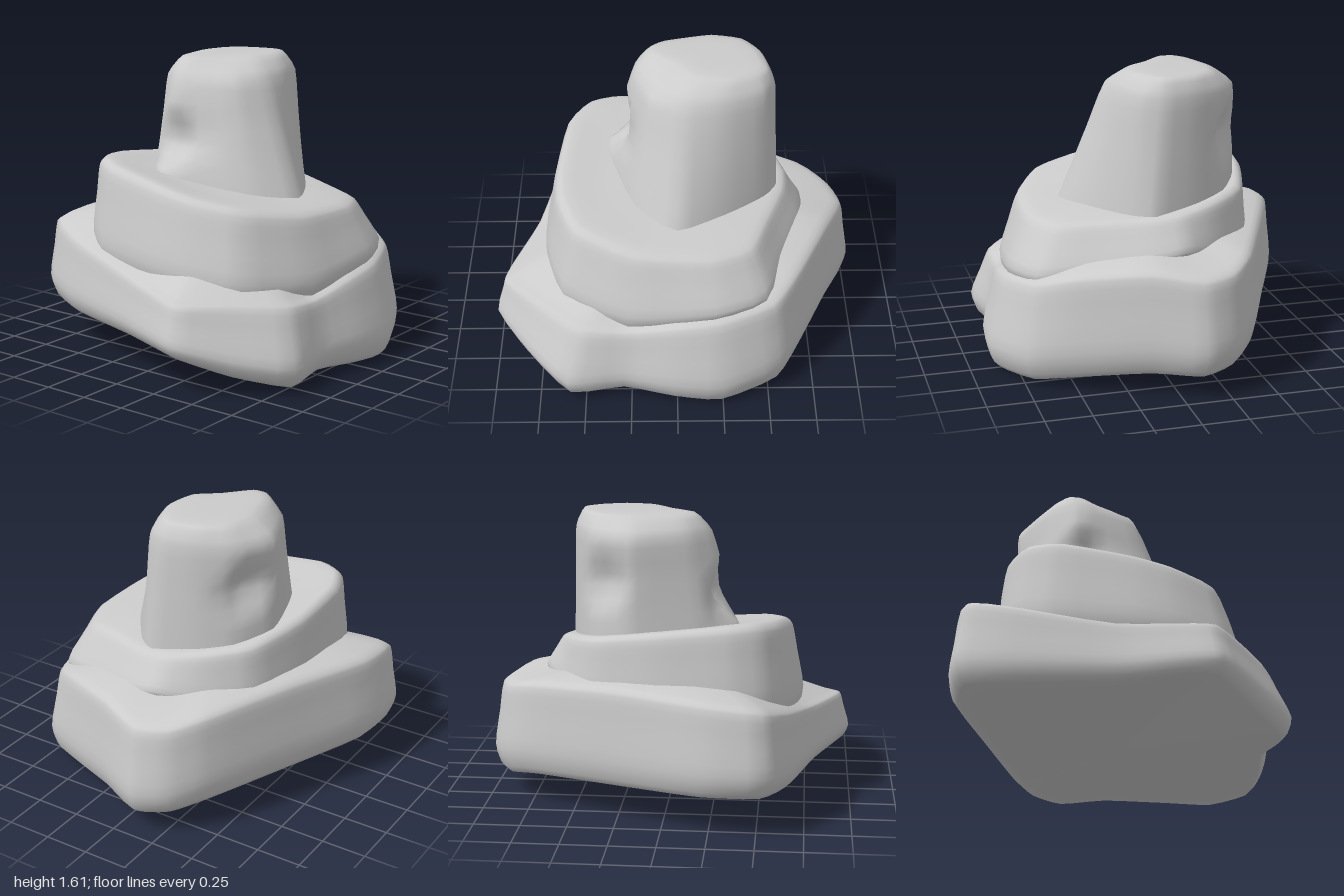
import * as THREE from 'three';

const V = (x, y, z) => new THREE.Vector3(x, y, z);
const lerp = THREE.MathUtils.lerp;
const material = new THREE.MeshStandardMaterial({ color: 0xcccccc });
const spline = (points, closed) => new THREE.CatmullRomCurve3(points, closed, 'catmullrom', 0.28);

// Closed lump lofted through rings of points (bottom to top), softened in both directions
function loft(name, rings, dents = []) {
  const around = rings[0].length * 3, up = (rings.length + 1) * 3;
  const smooth = rings.map(r => {
    const curve = spline(r, true);
    return Array.from({ length: around }, (_, j) => curve.getPoint(j / around));
  });
  const middle = r => r.reduce((s, p) => s.add(p), V(0, 0, 0)).divideScalar(r.length);
  const bottom = middle(rings[0]), top = middle(rings[rings.length - 1]);
  const columns = smooth[0].map((_, j) => spline([bottom, ...smooth.map(r => r[j]), top], false));
  const points = [bottom];
  for (let i = 1; i < up; i++) for (const c of columns) points.push(c.getPoint(i / up));
  points.push(top);

  // Hollows: push nearby points along a direction with a soft falloff
  for (const { at, push, radius } of dents) {
    for (const p of points) {
      const d = p.distanceTo(at) / radius;
      if (d < 1) p.addScaledVector(push, (1 - d * d) ** 2);
    }
  }

  const index = [], last = points.length - 1;
  for (let j = 0; j < around; j++) {
    const k = (j + 1) % around;
    index.push(0, 1 + j, 1 + k);
    for (let i = 0; i < up - 2; i++) {
      const a = 1 + i * around, b = a + around;
      index.push(a + j, b + j, a + k, a + k, b + j, b + k);
    }
    const t = 1 + (up - 2) * around;
    index.push(t + j, last, t + k);
  }
  const geometry = new THREE.BufferGeometry().setFromPoints(points);
  geometry.setIndex(index);
  geometry.computeVertexNormals();
  const mesh = new THREE.Mesh(geometry, material);
  mesh.name = name;
  return mesh;
}

// Flat boulder from an outline; each entry is [x, z, low, high, inset of the top edge]
function slab(name, outline, dome) {
  const mean = n => outline.reduce((s, c) => s + c[n], 0) / outline.length;
  const ring = (scale, h) => outline.map(([x, z, lo, hi, inset]) => {
    const s = scale(inset);
    return V(x * s, lerp(lo, hi, h), z * s);
  });
  // Inner ring of the underside (n = 2) or the top (n = 3)
  const cap = (n, lift) => outline.map(c =>
    V(c[0] * 0.55, lerp(c[n], mean(n), 0.4) + lift, c[1] * 0.55));
  return loft(name, [
    cap(2, 0),
    ring(() => 0.94, 0),
    ring(() => 1, 0.26),
    ring(t => lerp(1, t, 0.5), 0.64),
    ring(t => lerp(1, t, 0.9), 0.92),
    ring(t => t * 0.93, 1),
    cap(3, dome),
  ]);
}

export function createModel() {
  const group = new THREE.Group();
  group.name = 'stackedRocks';

  // Wide base boulder
  group.add(slab('baseRock', [
    [-0.55, -0.89, 0.22, 0.7, 0.95], [-0.22, -0.89, 0.22, 0.73, 0.95],
    [0.25, -0.68, 0.2, 0.74, 0.97], [0.75, -0.45, 0.18, 0.71, 0.96],
    [0.93, -0.3, 0.14, 0.67, 0.95], [1, -0.11, 0.12, 0.66, 0.94],
    [0.88, 0.15, 0.12, 0.69, 0.96], [0.7, 0.52, 0.07, 0.64, 0.95],
    [0.56, 0.75, 0.03, 0.58, 0.92], [0.25, 0.89, 0, 0.54, 0.89],
    [-0.02, 0.88, 0.02, 0.5, 0.9], [-0.3, 0.82, 0.04, 0.44, 0.92],
    [-0.6, 0.85, 0.03, 0.46, 0.87], [-0.83, 0.62, 0.1, 0.48, 0.9],
    [-1, 0.39, 0.19, 0.49, 0.94], [-0.96, 0.22, 0.2, 0.5, 0.94],
    [-0.82, -0.12, 0.19, 0.53, 0.95], [-0.69, -0.62, 0.2, 0.63, 0.95],
  ], 0.09));

  // Middle boulder, rising toward the back
  group.add(slab('middleRock', [
    [-0.33, -0.64, 0.55, 1.06, 0.95], [0.05, -0.62, 0.55, 1.02, 0.96],
    [0.4, -0.51, 0.55, 0.97, 0.95], [0.58, -0.3, 0.58, 0.93, 0.91],
    [0.7, -0.09, 0.66, 0.9, 0.85], [0.69, 0.1, 0.62, 0.88, 0.84],
    [0.58, 0.4, 0.55, 0.86, 0.83], [0.48, 0.67, 0.5, 0.84, 0.81],
    [0.2, 0.775, 0.47, 0.84, 0.83], [-0.27, 0.73, 0.38, 0.86, 0.86],
    [-0.62, 0.53, 0.4, 0.91, 0.88], [-0.72, 0.25, 0.43, 0.95, 0.9],
    [-0.73, 0, 0.45, 0.99, 0.9], [-0.66, -0.4, 0.48, 1.05, 0.92],
    [-0.53, -0.57, 0.52, 1.07, 0.94],
  ], -0.01));

  // Upright top boulder: x, z pairs for the foot, the shoulder and the crown
  const upright = [
    [-0.23, 0.27, -0.13, 0.1, 0, -0.05], [-0.38, -0.13, -0.22, -0.13, -0.13, -0.17],
    [-0.38, -0.24, -0.22, -0.24, -0.13, -0.25], [-0.2, -0.39, -0.12, -0.36, -0.06, -0.3],
    [0, -0.46, 0.02, -0.43, 0.05, -0.33], [0.2, -0.5, 0.2, -0.49, 0.2, -0.36],
    [0.4, -0.38, 0.4, -0.38, 0.36, -0.32], [0.5, -0.2, 0.5, -0.2, 0.45, -0.2],
    [0.56, 0.04, 0.53, -0.02, 0.48, -0.03], [0.48, 0.16, 0.46, 0.1, 0.42, 0.04],
    [0.26, 0.33, 0.26, 0.18, 0.27, 0.1], [0, 0.46, 0.04, 0.19, 0.1, 0.07],
  ];
  const footY = (x, z) => 0.89 - 0.13 * x - 0.12 * z;
  const body = t => upright.map(([x, z, sx, sz]) =>
    V(lerp(x, sx, t), lerp(footY(x, z), 1.5, t), lerp(z, sz, t)));
  const crown = (s, y) => upright.map(([, , , , x, z]) =>
    V(lerp(0.2, x, s), y, lerp(-0.13, z, s)));
  group.add(loft('topRock', [
    body(0).map(p => V(p.x, 0.75, p.z)),
    body(0), body(0.33), body(0.66), body(1),
    crown(1, 1.6),
    crown(0.5, 1.61),
  ], [
    { at: V(-0.31, 1.17, -0.18), push: V(0.11, -0.02, 0.02), radius: 0.2 },
    { at: V(0.34, 1.25, -0.43), push: V(-0.04, 0, 0.06), radius: 0.19 },
  ]));

  return group;
}
